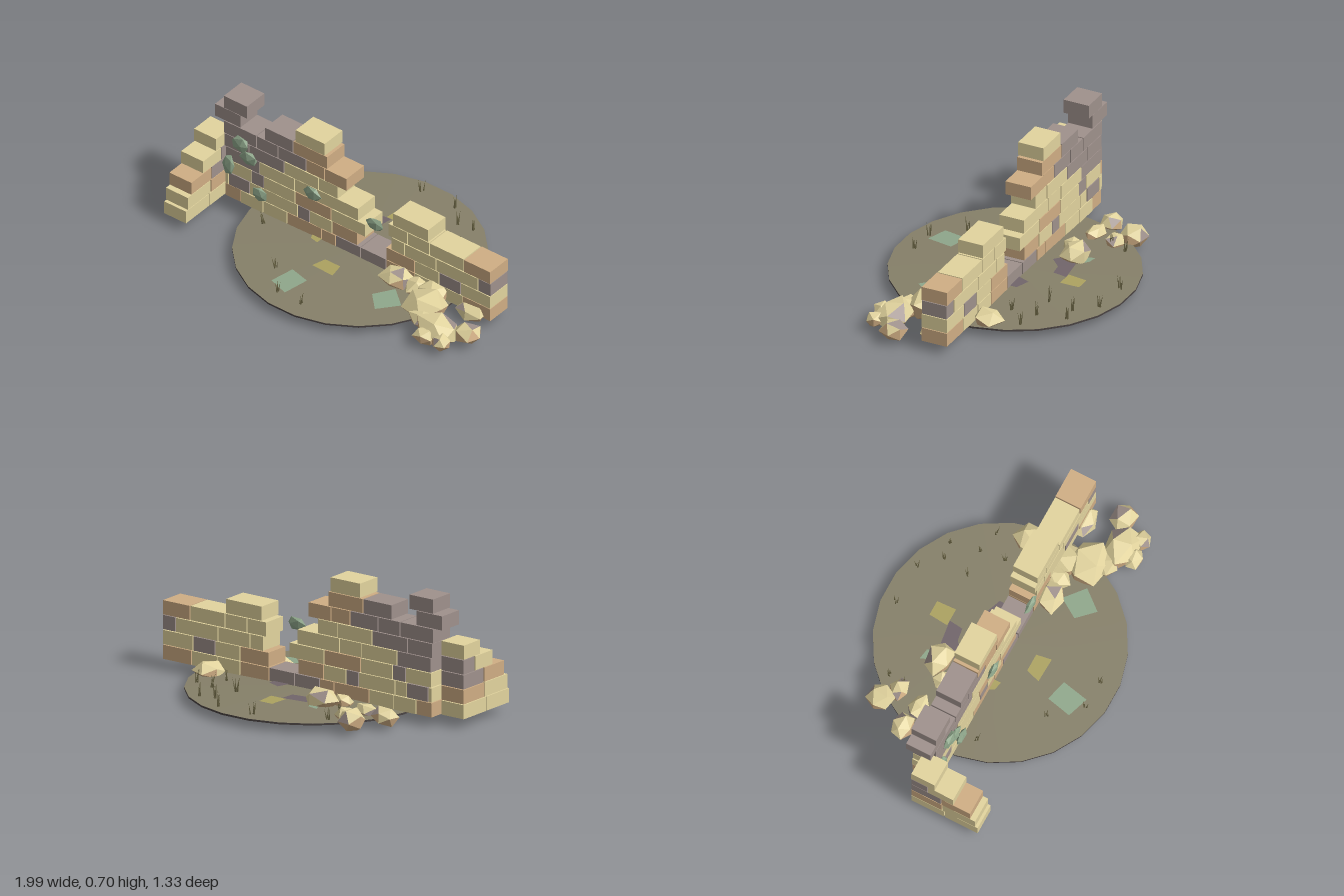
import * as THREE from 'three';

const mat = (name, color, side = THREE.FrontSide) => {
  const m = new THREE.MeshStandardMaterial({ color, side });
  m.name = name;
  return m;
};
const tan = mat('sandstone', 0xe2d49e);
const clay = mat('clay stone', 0xd0ae84);
const grey = mat('grey stone', 0x9f918c);
const earth = mat('earth', 0x868069);
const dark = mat('dark underside', 0x4a4342);
const yellow = mat('dry patch', 0xaca260);
const green = mat('moss', 0x8fa78b);
const purple = mat('damp patch', 0x71656a);
const grassMat = mat('grass', 0x6a6444, THREE.DoubleSide);
const stones = { t: tan, o: clay, g: grey };

let seed = 7;
const rand = () => (seed = (seed * 16807) % 2147483647) / 2147483647;
const spread = (a) => (rand() * 2 - 1) * a;

const R = 0.672, EDGE = 0.057, RISE = 0.014;
const groundY = (x, z) => EDGE + RISE * Math.max(0, 1 - Math.hypot(x, z) / R);

const ROW = 0.0815, BASE = 0.057, GAP = 0.006;

// Main wall courses: row, brick edges along x, brick colours
const wallRuns = [
  [0, [-0.845, -0.74, -0.59, -0.43, -0.2, -0.105, 0.06, 0.23, 0.42, 0.57, 0.74, 0.93], 'ottooggotto'],
  [1, [-0.845, -0.82, -0.68, -0.6, -0.36, -0.28, -0.13, 0.04], 'tgttgto'],
  [1, [0.23, 0.42, 0.585, 0.73, 0.93], 'otgt'],
  [2, [-0.84, -0.67, -0.585, -0.375, -0.135, 0.095], 'tgtot'],
  [2, [0.265, 0.355, 0.565, 0.845, 0.93], 'tttg'],
  [3, [-0.84, -0.615, -0.38, -0.235, 0.045], 'gttt'],
  [3, [0.245, 0.375, 0.52, 0.75, 0.93], 'ttto'],
  [4, [-0.85, -0.685, -0.45, -0.22, -0.09], 'ggtt'],
  [4, [0.275, 0.515], 't'],
  [5, [-0.855, -0.635, -0.49, -0.305, -0.18, -0.03], 'gggoo'],
  [6, [-0.915, -0.74], 'g'],
  [6, [-0.58, -0.39, -0.16], 'go'],
  [7, [-0.855, -0.695], 'g'],
  [7, [-0.375, -0.175], 't'],
];
// Stepped side wing: row, brick edges along z, brick colours
const wingRuns = [
  [0, [0, 0.2, 0.4], 'tt'],
  [1, [0, 0.185, 0.385], 'ot'],
  [2, [0, 0.18, 0.355], 'go'],
  [3, [0, 0.1, 0.255], 'gt'],
  [4, [0, 0.145], 't'],
];

function bricks(name, runs, alongZ) {
  const g = new THREE.Group();
  g.name = name;
  for (const [row, edges, colours] of runs) {
    for (let i = 0; i < colours.length; i++) {
      const len = edges[i + 1] - edges[i] - GAP, mid = (edges[i] + edges[i + 1]) / 2;
      const h = ROW - 0.004, y = BASE + ROW * (row + 0.5), deep = 0.147 + spread(0.003);
      const m = new THREE.Mesh(
        alongZ ? new THREE.BoxGeometry(deep, h, len) : new THREE.BoxGeometry(len, h, deep),
        stones[colours[i]]);
      m.position.set(alongZ ? -0.923 : mid, y, alongZ ? mid : 0);
      m.name = 'brick';
      g.add(m);
    }
  }
  return g;
}

// Irregular faceted stone; each facet picks a material slot
const UP = new THREE.Vector3(0, 1, 0);
function facetedStone(rx, ry, rz, jitter, materials, pick) {
  const geo = new THREE.IcosahedronGeometry(1, 0);
  const p = geo.attributes.position, moved = new Map(), v = new THREE.Vector3();
  const turn = rand() * Math.PI * 2;
  for (let i = 0; i < p.count; i++) {
    v.fromBufferAttribute(p, i);
    const key = v.toArray().map((c) => Math.round(c * 100)).join();
    if (!moved.has(key)) moved.set(key, 1.05 + spread(jitter));
    v.multiplyScalar(moved.get(key)).applyAxisAngle(UP, turn);
    p.setXYZ(i, v.x * rx, v.y * ry, v.z * rz);
  }
  geo.computeVertexNormals();
  geo.clearGroups();
  for (let i = 0; i < p.count; i += 3) geo.addGroup(i, 3, pick(geo.attributes.normal.getY(i)));
  return new THREE.Mesh(geo, materials);
}

// Facet colours: clay underneath, mixed on the flanks, sandy on top
function rubbleSlot(ny) {
  if (ny < 0) return 1;
  const r = rand();
  if (ny < 0.4) return r < 0.3 ? 1 : r < 0.5 ? 2 : 0;
  return r < 0.1 ? 2 : 0;
}

// Rubble: x, z, radius x, radius z, centre height, radius y
const rubble = [
  [-0.57, -0.41, 0.075, 0.07, 0.075, 0.063], [-0.485, -0.34, 0.065, 0.05, 0.07, 0.048],
  [-0.66, -0.235, 0.073, 0.062, 0.072, 0.05], [-0.52, -0.21, 0.073, 0.047, 0.068, 0.047],
  [-0.335, -0.17, 0.055, 0.05, 0.072, 0.048], [-0.24, -0.235, 0.1, 0.073, 0.09, 0.065],
  [0.57, -0.13, 0.088, 0.08, 0.073, 0.052], [0.34, 0.12, 0.088, 0.08, 0.1, 0.06],
  [0.46, 0.09, 0.075, 0.075, 0.085, 0.055], [0.56, 0.1, 0.085, 0.09, 0.09, 0.06],
  [0.6, 0.2, 0.128, 0.112, 0.082, 0.08], [0.8, 0.08, 0.105, 0.055, 0.07, 0.045],
  [0.77, 0.32, 0.133, 0.095, 0.08, 0.08], [0.915, 0.245, 0.08, 0.065, 0.075, 0.055],
  [0.74, 0.4, 0.068, 0.052, 0.07, 0.05], [0.85, 0.39, 0.058, 0.052, 0.07, 0.045],
  [0.65, 0.29, 0.08, 0.068, 0.07, 0.055],
];
// Moss clumps on the wall face: x, y, radius x, radius y
const clumps = [
  [-0.73, 0.455, 0.055, 0.046], [-0.67, 0.385, 0.058, 0.043], [-0.81, 0.285, 0.038, 0.064],
  [-0.6, 0.185, 0.048, 0.043], [-0.25, 0.355, 0.055, 0.048], [0.17, 0.35, 0.064, 0.039],
];
// Ground patches: material and four x, z corners
const patches = [
  [yellow, [-0.04, -0.4, 0.045, -0.4, 0.05, -0.29, -0.05, -0.29]],
  [yellow, [-0.075, 0.2, 0.025, 0.2, 0.04, 0.285, -0.1, 0.28]],
  [yellow, [-0.27, 0.06, -0.2, 0.06, -0.2, 0.11, -0.25, 0.1]],
  [purple, [-0.17, -0.27, -0.02, -0.29, -0.03, -0.21, -0.1, -0.2]],
  [purple, [-0.17, -0.27, -0.1, -0.2, -0.16, -0.14, -0.22, -0.19]],
  [purple, [0.12, -0.14, 0.2, -0.11, 0.2, -0.06, 0.09, -0.06]],
  [green, [-0.16, 0.37, -0.04, 0.4, -0.07, 0.55, -0.19, 0.51]],
  [green, [0.37, 0.17, 0.48, 0.26, 0.39, 0.37, 0.3, 0.28]],
  [green, [-0.28, -0.33, -0.22, -0.32, -0.19, -0.27, -0.25, -0.26]],
];
// Grass tufts: x, z
const tufts = [
  [-0.06, -0.59], [0.165, -0.585], [0.27, -0.485], [0.37, -0.49], [0.4, -0.33], [0.245, -0.32],
  [0.53, -0.3], [0.415, -0.19], [-0.43, -0.43], [-0.44, -0.34], [-0.535, 0.145],
  [-0.245, 0.405], [-0.1, 0.56], [0.05, 0.57],
];

function addGround(root) {
  // Low cone of earth on a dark flat base
  const top = new THREE.Mesh(new THREE.ConeGeometry(R, RISE, 24, 1, true), earth);
  top.position.y = EDGE + RISE / 2;
  top.name = 'groundTop';
  const base = new THREE.Mesh(new THREE.CylinderGeometry(R, R, 0.01, 24), dark);
  base.position.y = EDGE - 0.0055;
  base.name = 'groundBase';
  top.rotation.y = base.rotation.y = Math.PI / 24;
  root.add(top, base);

  for (const [material, c] of patches) {
    const pos = [];
    for (const k of [0, 3, 2, 0, 2, 1]) {
      const x = c[k * 2], z = c[k * 2 + 1];
      pos.push(x, groundY(x, z) + 0.004, z);
    }
    const geo = new THREE.BufferGeometry();
    geo.setAttribute('position', new THREE.Float32BufferAttribute(pos, 3));
    geo.computeVertexNormals();
    const m = new THREE.Mesh(geo, material);
    m.name = 'groundPatch';
    root.add(m);
  }
}

function addGrass(root) {
  for (const [x, z] of tufts) {
    const tuft = new THREE.Group();
    tuft.name = 'grassTuft';
    tuft.position.set(x, groundY(x, z) - 0.003, z);
    for (let i = 0; i < 4; i++) {
      const h = 0.06 + rand() * 0.035;
      const geo = new THREE.ConeGeometry(0.005, h, 3);
      geo.translate(0, h / 2, 0);
      const blade = new THREE.Mesh(geo, grassMat);
      blade.position.set(spread(0.01), 0, spread(0.01));
      blade.rotation.set(spread(0.2), 0, spread(0.2));
      blade.name = 'grassBlade';
      tuft.add(blade);
    }
    root.add(tuft);
  }
}

export function createModel() {
  const root = new THREE.Group();
  root.name = 'ruinedWall';
  root.add(bricks('mainWall', wallRuns, false), bricks('sideWing', wingRuns, true));
  addGround(root);

  for (const [x, z, rx, rz, y, ry] of rubble) {
    const m = facetedStone(rx, ry, rz, 0.17, [tan, clay, grey], rubbleSlot);
    m.position.set(x, y, z);
    m.name = 'rubbleStone';
    root.add(m);
  }
  for (const [x, y, rx, ry] of clumps) {
    const m = facetedStone(rx, ry, 0.018, 0.16, [green], () => 0);
    m.position.set(x, y, 0.09);
    m.name = 'mossClump';
    root.add(m);
  }
  addGrass(root);
  return root;
}
